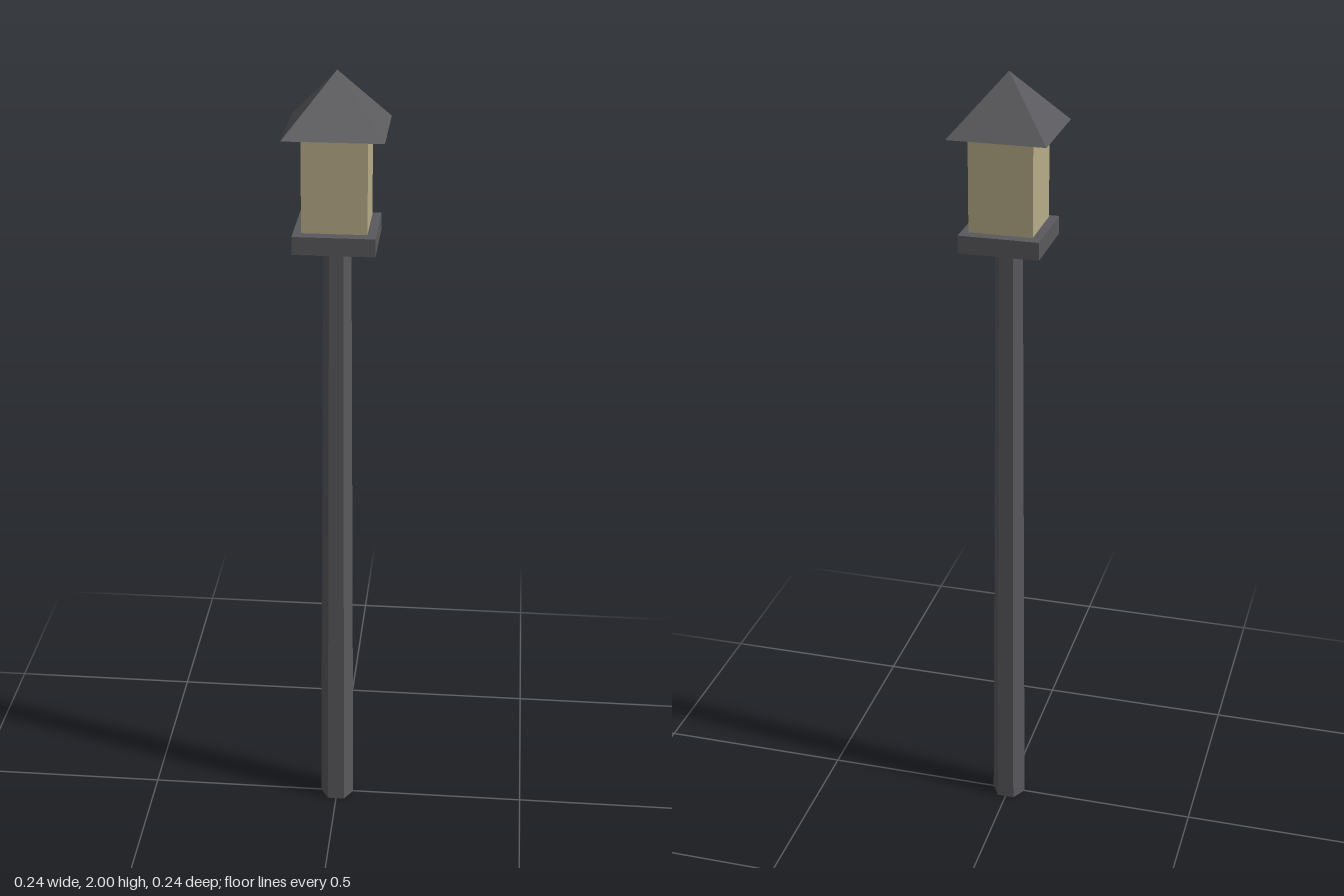
import * as THREE from 'three';

export function createModel() {
  const lamp = new THREE.Group();
  lamp.name = 'lampPost';

  const iron = new THREE.MeshStandardMaterial({ color: 0x5a5a5e, flatShading: true });
  const glass = new THREE.MeshStandardMaterial({ color: 0xb8ad88, flatShading: true });

  // Adds a part standing between the heights bottom and top
  function addPart(name, geometry, material, bottom, top) {
    const mesh = new THREE.Mesh(geometry, material);
    mesh.name = name;
    mesh.position.y = (bottom + top) / 2;
    lamp.add(mesh);
  }

  // Tapered six-sided pole, corners on the x axis
  const poleTop = 1.581;
  addPart('pole', new THREE.CylinderGeometry(0.034, 0.044, poleTop, 6, 1, false, Math.PI / 6), iron, 0, poleTop);

  // Square plate carrying the lantern
  addPart('lanternBase', new THREE.BoxGeometry(0.196, 0.044, 0.196), iron, 1.586, 1.63);

  // Glowing lantern body
  addPart('lanternGlass', new THREE.BoxGeometry(0.155, 0.23, 0.155), glass, 1.633, 1.863);

  // Four-sided pyramid roof, sides square to the axes
  const roofHalf = 0.1185;
  const roof = new THREE.ConeGeometry(roofHalf * Math.SQRT2, 0.137, 4, 1, false, Math.PI / 4);
  addPart('roof', roof, iron, 1.863, 2);

  return lamp;
}
